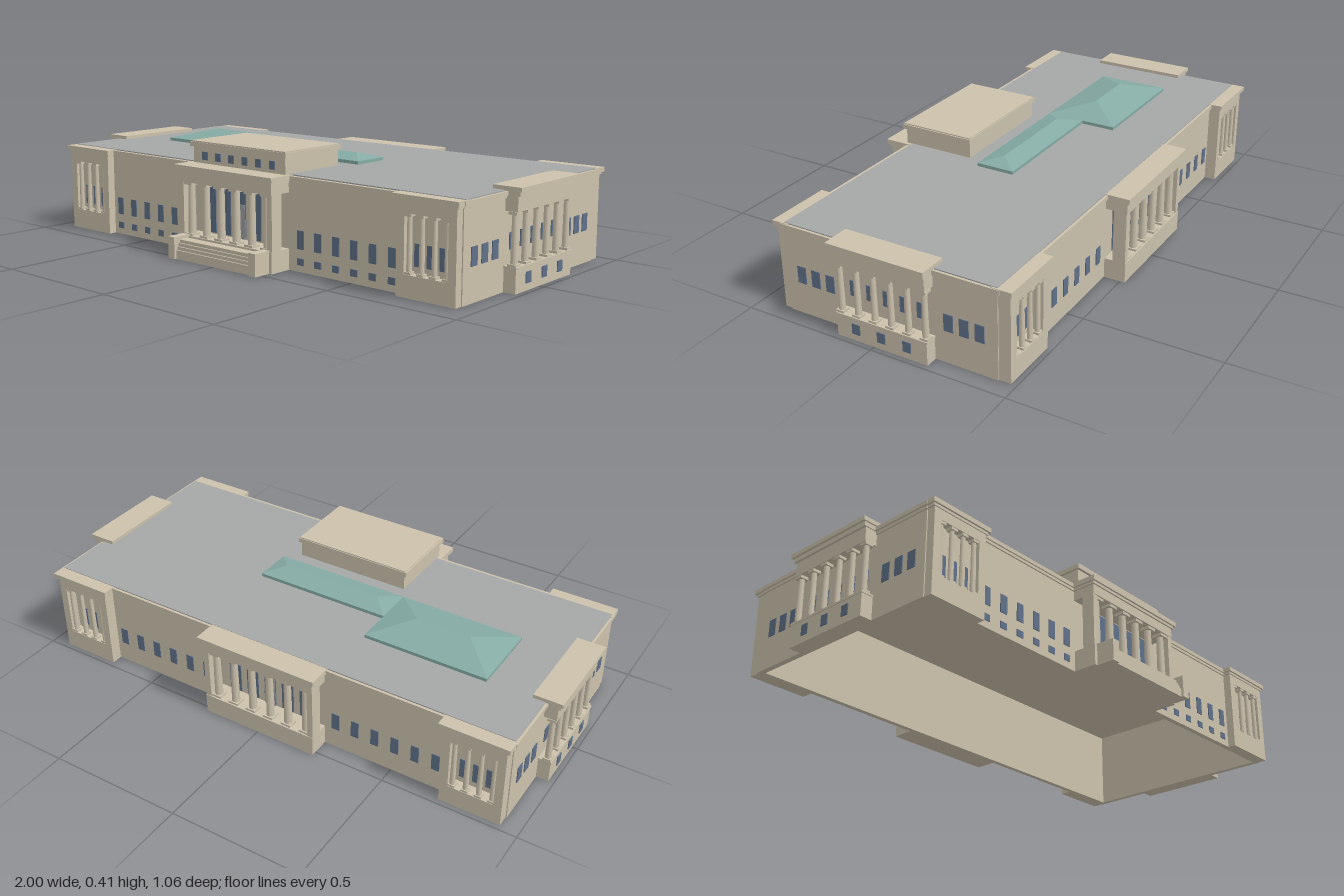
import * as THREE from 'three';

const mat = (name, color) => {
  const m = new THREE.MeshStandardMaterial({ color });
  m.name = name;
  return m;
};

export function createModel() {
  const stone = mat('limestone', 0xcbc1ac);
  const glass = mat('windowGlass', 0x5f7088);
  const grey = mat('roofGrey', 0xa5a7a7);
  const teal = mat('skylightGlass', 0x86aca5);
  const door = mat('doorPanel', 0x9fa1a6);

  const model = new THREE.Group();
  model.name = 'neoclassicalBuilding';

  const group = (parent, name, x = 0, z = 0, turn = 0) => {
    const g = new THREE.Group();
    g.name = name;
    g.position.set(x, 0, z);
    g.rotation.y = turn;
    parent.add(g);
    return g;
  };
  // Box given by its limits on each axis
  const box = (parent, name, m, x0, x1, y0, y1, z0, z1) => {
    const mesh = new THREE.Mesh(new THREE.BoxGeometry(x1 - x0, y1 - y0, z1 - z0), m);
    mesh.name = name;
    mesh.position.set((x0 + x1) / 2, (y0 + y1) / 2, (z0 + z1) / 2);
    parent.add(mesh);
    return mesh;
  };
  // Thin pane lying on a wall that faces local +z
  const pane = (parent, x, w, y0, y1, z = 0, m = glass, name = 'window') =>
    box(parent, name, m, x - w / 2, x + w / 2, y0, y1, z - 0.002, z + 0.003);

  // Round column with square base and capital
  const column = (parent, x, z, y0, y1, r) => {
    const g = group(parent, 'column', x, z);
    const q = r * 1.3;
    box(g, 'columnBase', stone, -q, q, y0, y0 + 0.008, -q, q);
    const shaft = new THREE.Mesh(
      new THREE.CylinderGeometry(r * 0.84, r, y1 - y0 - 0.018, 16), stone);
    shaft.name = 'columnShaft';
    shaft.position.y = (y0 + y1) / 2 - 0.001;
    g.add(shaft);
    box(g, 'columnCapital', stone, -q, q, y1 - 0.01, y1, -q, q);
  };
  // Two-step cornice over a block standing out from a wall
  const cornice = (g, hw, depth, back, y0, y1) => {
    const mid = y0 + (y1 - y0) * 0.35;
    box(g, 'corniceBed', stone, -hw - 0.006, hw + 0.006, y0, mid, back, depth + 0.006);
    box(g, 'corniceSlab', stone, -hw - 0.013, hw + 0.013, mid, y1, back, depth + 0.013);
  };

  // --- Hollow main block, open underneath ---
  const X = 0.935, F = 0.375, B = -0.437, T = 0.02;
  const body = group(model, 'mainBlock');
  box(body, 'frontWall', stone, -X, X, 0, 0.31, F - T, F);
  box(body, 'backWall', stone, -X, X, 0, 0.31, B, B + T);
  for (const s of [-1, 1]) {
    const a = s * X, b = s * (X - T);
    box(body, 'endWall', stone, Math.min(a, b), Math.max(a, b), 0, 0.31, B + T, F - T);
  }
  box(body, 'corniceBed', stone, -X - 0.005, X + 0.005, 0.305, 0.315, B - 0.006, F + 0.005);
  box(body, 'corniceSlab', stone, -X - 0.012, X + 0.012, 0.315, 0.329, B - 0.013, F + 0.01);
  box(body, 'flatRoof', grey, -X - 0.003, X + 0.003, 0.328, 0.333, B - 0.003, F - 0.005);

  // --- Local frames for the four facades, each facing its own +z ---
  const front = group(model, 'frontFacade', 0, F);
  const back = group(model, 'backFacade', 0, B, Math.PI);
  const leftEnd = group(model, 'leftFacade', X, 0, Math.PI / 2);
  const rightEnd = group(model, 'rightFacade', -X, 0, -Math.PI / 2);

  for (const f of [front, back]) {
    for (const s of [-1, 1]) {
      for (let i = 0; i < 6; i++) {
        const x = s * (0.277 + i * 0.078);
        pane(f, x, 0.03, 0.08, 0.145);
        if (f === front) pane(f, x, 0.029, 0.024, 0.048);
      }
    }
  }

  // Corner pavilions with columns set in a recess
  const pavilion = (f, cx, depth) => {
    const g = group(f, 'cornerPavilion', cx);
    const hw = 0.113, ow = 0.083;
    box(g, 'pavilionBase', stone, -hw, hw, 0, 0.075, 0, depth);
    box(g, 'pavilionLintel', stone, -hw, hw, 0.27, 0.31, 0, depth);
    for (const s of [-1, 1]) {
      const c = s * (hw + ow) / 2, h = (hw - ow) / 2;
      box(g, 'pavilionPier', stone, c - h, c + h, 0.075, 0.27, 0, depth);
    }
    for (let i = 0; i < 4; i++) column(g, -0.072 + i * 0.048, depth - 0.014, 0.075, 0.27, 0.0095);
    for (let i = -1; i <= 1; i++) pane(g, i * 0.048, 0.03, 0.098, 0.172);
    cornice(g, hw, depth - 0.002, -0.02, 0.306, 0.331);
  };
  for (const s of [-1, 1]) {
    pavilion(front, s * 0.818, 0.03);
    pavilion(back, s * 0.818, 0.043);
  }

  // --- Central porticoes, six columns between end piers ---
  const portico = (f, cx, depth, name) => {
    const g = group(f, name, cx);
    const hw = 0.228;
    box(g, 'podium', stone, -hw, hw, 0, 0.075, 0, depth);
    for (const s of [-1, 1]) {
      box(g, 'endPier', stone, s * 0.217 - 0.011, s * 0.217 + 0.011, 0.075, 0.27, depth - 0.05, depth - 0.002);
    }
    for (let i = 0; i < 6; i++) column(g, -0.1875 + i * 0.075, depth - 0.025, 0.075, 0.27, 0.015);
    for (let i = -2; i <= 2; i++) {
      pane(g, i * 0.075, 0.048, 0.08, 0.265);
      if (i === 0) pane(g, 0, 0.044, 0.076, 0.2, 0.002, door, 'door');
    }
    box(g, 'entablature', stone, -hw, hw, 0.27, 0.308, 0, depth);
    cornice(g, hw, depth, -0.02, 0.305, 0.332);
    return g;
  };
  const entrance = portico(front, -0.005, 0.087, 'entrancePortico');
  portico(back, 0.005, 0.081, 'backPortico');

  // Entrance steps between cheek blocks
  const steps = group(entrance, 'entranceSteps');
  for (let i = 0; i < 4; i++) {
    box(steps, 'step', stone, -0.185, 0.185, 0, 0.068 - i * 0.012, 0.08, 0.128 + i * 0.006);
  }
  for (const s of [-1, 1]) {
    box(steps, 'cheekBlock', stone, s * 0.2 - 0.016, s * 0.2 + 0.016, 0, 0.08, 0.08, 0.155);
  }

  // Attic block above the entrance
  const attic = group(model, 'attic', -0.003);
  box(attic, 'atticWalls', stone, -0.225, 0.225, 0.325, 0.393, 0.115, 0.391);
  box(attic, 'atticCap', stone, -0.235, 0.235, 0.391, 0.408, 0.11, 0.401);
  box(attic, 'atticCapTop', stone, -0.23, 0.23, 0.4, 0.412, 0.113, 0.398);
  for (let i = 0; i < 6; i++) pane(attic, -0.165 + i * 0.066, 0.027, 0.345, 0.374, 0.391);

  // --- End porticoes and end wall windows; dir maps world z to local x ---
  for (const [f, dir] of [[leftEnd, -1], [rightEnd, 1]]) {
    for (const z of [0.316, 0.258, 0.199, -0.259, -0.316, -0.373]) pane(f, dir * z, 0.034, 0.118, 0.18);
    const g = group(f, 'endPortico', dir * -0.031);
    const hw = 0.175;
    box(g, 'podium', stone, -hw, hw, 0, 0.08, 0, 0.045);
    box(g, 'podiumEdge', stone, -hw - 0.003, hw + 0.003, 0.08, 0.087, 0, 0.048);
    for (let i = 0; i < 6; i++) column(g, -0.1625 + i * 0.065, 0.029, 0.087, 0.265, 0.0115);
    for (let i = -2; i <= 2; i++) pane(g, i * 0.065, 0.035, 0.135, 0.191);
    for (let i = -1; i <= 1; i++) pane(g, i * 0.099, 0.031, 0.025, 0.063, 0.045);
    box(g, 'entablature', stone, -hw, hw, 0.265, 0.318, 0, 0.046);
    box(g, 'corniceBed', stone, -hw - 0.004, hw + 0.004, 0.316, 0.333, -0.036, 0.055);
    box(g, 'corniceSlab', stone, -hw - 0.01, hw + 0.01, 0.331, 0.346, -0.042, 0.064);
  }

  // --- Hipped glass skylights: base rectangle, ridge ends and height ---
  const skylight = (name, x0, x1, z0, z1, r0, r1, y, top) => {
    const g = group(model, name);
    box(g, 'skylightCurb', teal, x0, x1, 0.331, y, z0, z1);
    const zr = (z0 + z1) / 2;
    const a = [x0, y, z0], b = [x1, y, z0], c = [x1, y, z1], d = [x0, y, z1];
    const p = [r0, top, zr], q = [r1, top, zr];
    const tris = [d, c, q, d, q, p, b, a, p, b, p, q, a, d, p, c, b, q];
    const geo = new THREE.BufferGeometry();
    geo.setAttribute('position', new THREE.Float32BufferAttribute(tris.flat(), 3));
    geo.computeVertexNormals();
    const hip = new THREE.Mesh(geo, teal);
    hip.name = 'skylightHip';
    g.add(hip);
  };
  skylight('largeSkylight', -0.73, -0.26, -0.222, 0.055, -0.598, -0.392, 0.345, 0.381);
  skylight('smallSkylight', -0.26, 0.266, -0.09, 0.055, -0.19, 0.2, 0.345, 0.364);

  return model;
}
